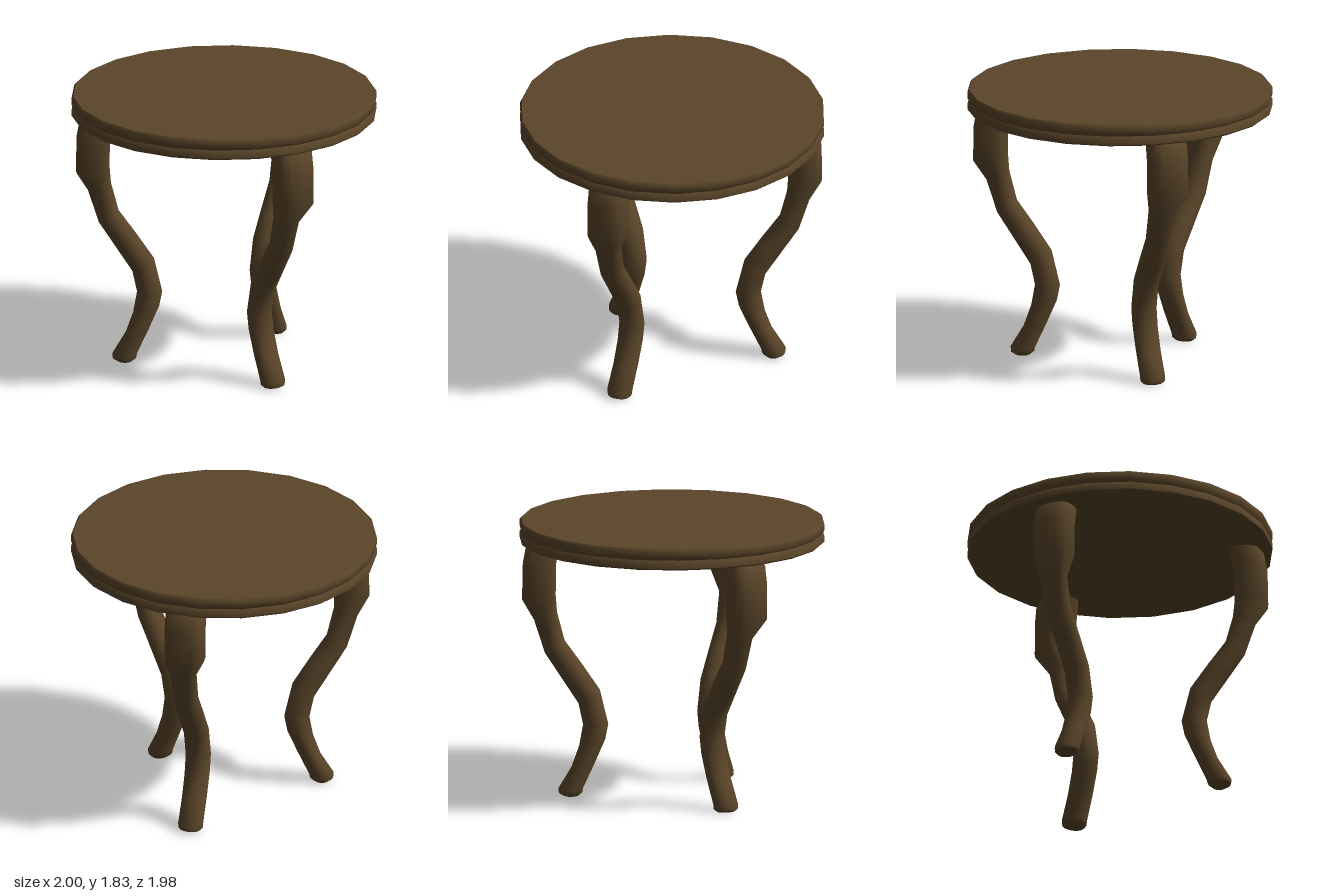
import * as THREE from 'three';
import { toCreasedNormals } from 'three/addons/utils/BufferGeometryUtils.js';

const wood = new THREE.MeshStandardMaterial({ color: 0x5a4529 });

// Leg sections, foot to top: [inner r, inner y, outer r, outer y, side min, side max, squareness]
const SECTIONS = [
  [0.66, 0.00, 0.66, 0.00, -0.02, -0.02, 0],
  [0.61, 0.00, 0.71, 0.00, -0.08, 0.045, 0],
  [0.585, 0.02, 0.738, 0.015, -0.098, 0.063, 0],
  [0.58, 0.045, 0.742, 0.045, -0.10, 0.065, 0],
  [0.50, 0.22, 0.655, 0.19, -0.10, 0.065, 0],
  [0.435, 0.37, 0.605, 0.33, -0.10, 0.065, 0],
  [0.415, 0.47, 0.58, 0.47, -0.10, 0.065, 0],
  [0.47, 0.70, 0.61, 0.61, -0.10, 0.065, 0],
  [0.585, 0.87, 0.72, 0.78, -0.10, 0.065, 0],
  [0.70, 1.03, 0.83, 0.95, -0.10, 0.065, 0],
  [0.75, 1.22, 0.90, 1.17, -0.10, 0.07, 0.1],
  [0.76, 1.34, 0.98, 1.31, -0.12, 0.14, 0.3],
  [0.757, 1.55, 0.975, 1.55, -0.12, 0.14, 0.3],
  [0.735, 1.655, 0.955, 1.66, -0.12, 0.14, 0.3],
  [0.72, 1.70, 0.92, 1.70, -0.11, 0.12, 0.3],
  [0.82, 1.70, 0.82, 1.70, 0, 0, 0],
];
const SIDES = 16;

// Skin the sections; local z points outward from the table's centre
function legGeometry() {
  const pos = [], index = [];
  for (const [ri, yi, ro, yo, lo, hi, square] of SECTIONS) {
    const soften = (v) => Math.sign(v) * Math.pow(Math.abs(v), 1 - square);
    for (let j = 0; j < SIDES; j++) {
      const a = (j / SIDES) * Math.PI * 2;
      const u = soften(Math.cos(a)), v = soften(Math.sin(a));
      pos.push(
        (lo + hi) / 2 + (u * (hi - lo)) / 2,
        (yi + yo) / 2 + (v * (yo - yi)) / 2,
        (ri + ro) / 2 + (v * (ro - ri)) / 2
      );
    }
  }
  for (let i = 0; i < SECTIONS.length - 1; i++) {
    for (let j = 0; j < SIDES; j++) {
      const k = (j + 1) % SIDES;
      const a = i * SIDES + j, b = i * SIDES + k;
      const c = a + SIDES, d = b + SIDES;
      index.push(a, c, b, b, c, d);
    }
  }
  const g = new THREE.BufferGeometry();
  g.setAttribute('position', new THREE.Float32BufferAttribute(pos, 3));
  g.setIndex(index);
  return toCreasedNormals(g, 0.8);
}

export function createModel() {
  const table = new THREE.Group();
  table.name = 'roundTable';

  // 22-sided top with a shallow groove around the rim
  const profile = [
    [0, 1.69], [0.985, 1.69], [0.998, 1.70], [0.998, 1.735], [0.985, 1.755],
    [0.998, 1.775], [0.998, 1.815], [0.987, 1.83], [0, 1.83],
  ].map(([r, y]) => new THREE.Vector2(r, y));
  const top = new THREE.Mesh(
    toCreasedNormals(new THREE.LatheGeometry(profile, 22, Math.PI / 2), 0.85), wood);
  top.name = 'tableTop';
  table.add(top);

  // Three curved legs, one at the back and two at the front
  const geometry = legGeometry();
  for (const [name, angle, dr, dz] of [
    ['backLeg', Math.PI, 0, 0],
    ['frontLeftLeg', Math.PI / 3, -0.02, 0.015],
    ['frontRightLeg', -Math.PI / 3, -0.02, 0.015],
  ]) {
    const leg = new THREE.Mesh(geometry, wood);
    leg.name = name;
    leg.rotation.y = angle;
    leg.position.set(Math.sin(angle) * dr, 0, Math.cos(angle) * dr + dz);
    table.add(leg);
  }
  return table;
}
